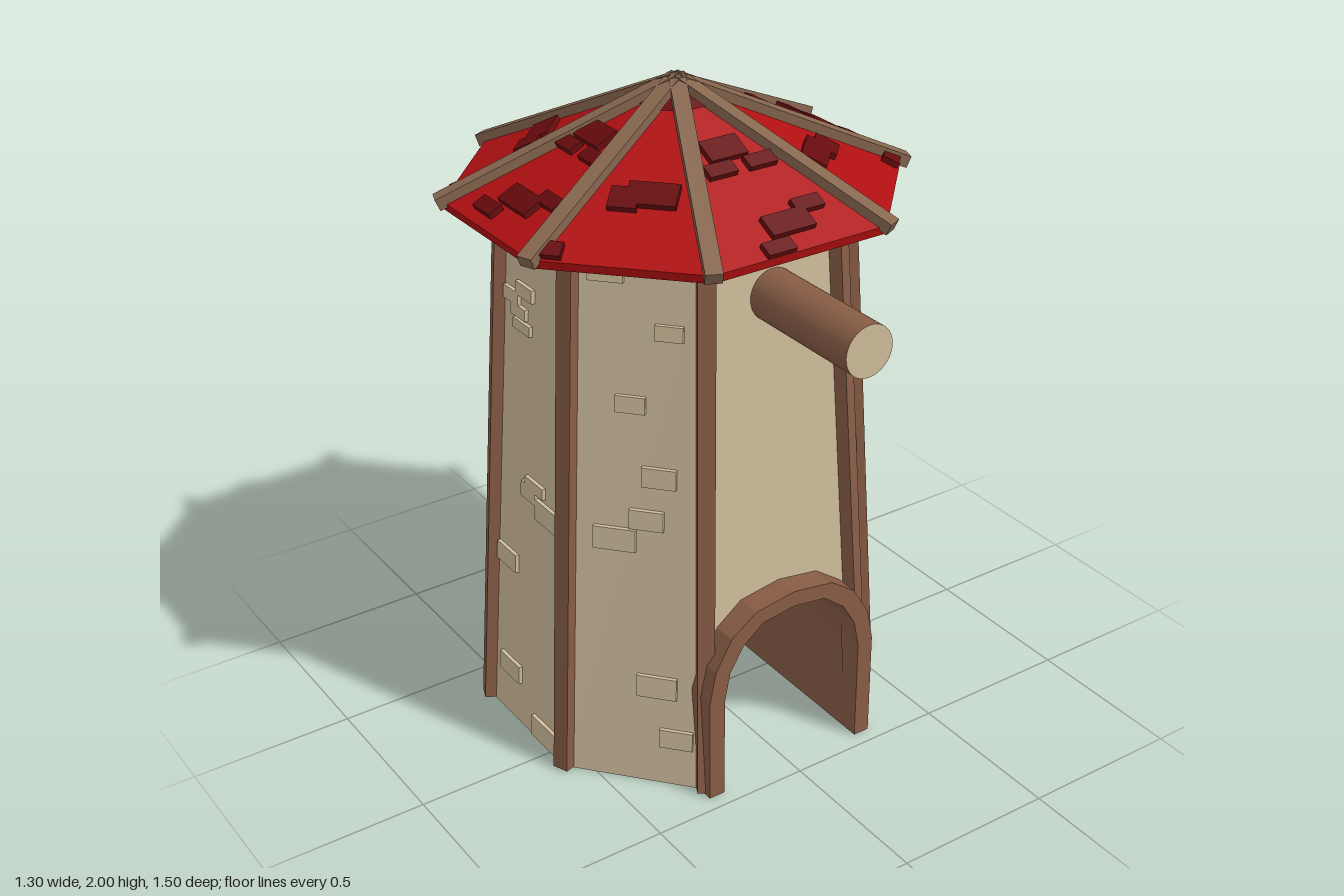
import * as THREE from 'three';

const V = (x, y, z) => new THREE.Vector3(x, y, z);
const mat = (name, color, extra = {}) => {
  const m = new THREE.MeshStandardMaterial({ color, ...extra });
  m.name = name;
  return m;
};

// Eight-sided footprint; order runs from front-left round past +x.
const ring = (f, F, s, S, y) =>
  [[-f, F], [f, F], [s, S], [s, -S], [f, -F], [-f, -F], [-s, -S], [-s, S]].map(([x, z]) => V(x, y, z));

const H = 1.66;
const wallRing = (y) => {
  const k = y / H, mix = THREE.MathUtils.lerp;
  return ring(mix(0.283, 0.215, k), mix(0.55, 0.455, k), mix(0.565, 0.465, k), mix(0.222, 0.178, k), y);
};

// Flat-faced skin between rings, listed bottom to top.
function loft(rings, skip = () => false) {
  const pts = [];
  for (let r = 0; r + 1 < rings.length; r++) {
    for (let i = 0; i < 8; i++) {
      if (skip(i)) continue;
      const j = (i + 1) % 8;
      const [a, b, c, d] = [rings[r][i], rings[r][j], rings[r + 1][j], rings[r + 1][i]];
      if (a.distanceTo(b) > 1e-6) pts.push(a, b, c);
      if (c.distanceTo(d) > 1e-6) pts.push(a, c, d);
    }
  }
  const g = new THREE.BufferGeometry().setFromPoints(pts);
  g.computeVertexNormals();
  return g;
}

export function createModel() {
  const stone = mat('stone', 0xcdbb9a, { side: THREE.DoubleSide });
  const wood = mat('wood', 0x875c45);
  const rafterWood = mat('rafterWood', 0x86664f);
  const red = mat('roofRed', 0xb00f11);
  const darkRed = mat('tileRed', 0x660b0d);

  const model = new THREE.Group();
  const tower = new THREE.Group();
  tower.name = 'tower';
  tower.position.z = -0.14;
  model.add(tower);

  const add = (name, geo, m) => {
    const mesh = new THREE.Mesh(geo, m);
    mesh.name = name;
    tower.add(mesh);
    return mesh;
  };
  // Box with its width along t and its thickness along n
  const block = (name, m, p, t, n, w, thick, h) => {
    const mesh = add(name, new THREE.BoxGeometry(w, thick, h), m);
    const x = t.clone().normalize();
    const y = n.clone().addScaledVector(x, -n.dot(x)).normalize();
    mesh.quaternion.setFromRotationMatrix(new THREE.Matrix4().makeBasis(x, y, x.clone().cross(y)));
    mesh.position.copy(p);
    return mesh;
  };

  // Passage profile
  const inner = [[0.243, 0], [0.243, 0.33], [0.225, 0.42], [0.18, 0.495], [0.11, 0.55], [0, 0.565]];
  const outer = [[0.295, 0], [0.295, 0.34], [0.275, 0.44], [0.22, 0.535], [0.135, 0.595], [0, 0.615]];
  const mirrorArc = (p) => [...p, ...p.slice(0, -1).reverse().map(([x, y]) => [-x, y])];
  const toShape = (p) => new THREE.Shape(p.map(([x, y]) => new THREE.Vector2(x, y)));

  // Walls: six plain sides, then front and back with an opening
  add('sideWalls', loft([wallRing(0), wallRing(H)], (i) => i % 4 === 0), stone);
  const hole = mirrorArc(inner.map(([x, y]) => [x * 1.08, y * 1.03]));
  const gate = new THREE.ShapeGeometry(toShape([
    [wallRing(0)[1].x, 0], [wallRing(H)[1].x, H], [-wallRing(H)[1].x, H], [-wallRing(0)[1].x, 0],
    ...hole.reverse(),
  ]));
  const gp = gate.attributes.position;
  for (let i = 0; i < gp.count; i++) gp.setZ(i, wallRing(gp.getY(i))[1].z);
  gate.computeVertexNormals();
  add('frontWall', gate, stone);
  add('backWall', gate, stone).rotation.y = Math.PI;

  // Vaulted passage running right through
  const vault = new THREE.ExtrudeGeometry(
    toShape([...mirrorArc(outer), ...mirrorArc(inner).reverse()]), { depth: 1.19, bevelEnabled: false });
  vault.translate(0, 0, -0.597);
  add('archPassage', vault, wood);

  // Corner posts
  const low = wallRing(0.004), high = wallRing(H);
  low.forEach((a, i) => {
    const b = high[i];
    block('cornerPost', wood, a.clone().lerp(b, 0.5), b.clone().sub(a), V(a.x, 0, a.z), a.distanceTo(b), 0.05, 0.05);
  });

  // Raised stones on the diagonal walls: [share from front to side corner, y, width, height]
  const diagonalStones = [
    [0.73, 1.6, 0.1, 0.055], [0.26, 1.44, 0.08, 0.045], [0.54, 1.22, 0.085, 0.05], [0.33, 1.005, 0.1, 0.06],
    [0.42, 0.87, 0.1, 0.06], [0.65, 0.8, 0.125, 0.07], [0.34, 0.33, 0.12, 0.07], [0.2, 0.16, 0.1, 0.06],
  ];
  // Raised stones on the side walls: [z, y, width, height]
  const sideStones = [
    [-0.04, 1.445, 0.09, 0.04], [-0.11, 1.41, 0.08, 0.04], [-0.07, 1.375, 0.08, 0.035], [-0.05, 1.335, 0.09, 0.03],
    [0.03, 0.86, 0.1, 0.035], [0, 0.83, 0.08, 0.05], [0.11, 0.795, 0.14, 0.065],
    [-0.12, 0.555, 0.11, 0.06], [-0.095, 0.175, 0.115, 0.06], [0.11, 0.045, 0.14, 0.07],
  ];
  const up = V(0, 1, 0);
  const onWall = (face, t, y, w, h) => {
    const r = wallRing(y), a = r[face], b = r[(face + 1) % 8];
    const top = wallRing(y + 0.1)[face].clone().sub(a);
    const tangent = b.clone().sub(a);
    block('wallStone', stone, a.clone().lerp(b, t), tangent, tangent.clone().cross(top), w, 0.024, h);
  };
  for (const [t, y, w, h] of diagonalStones) {
    for (const face of [1, 5]) onWall(face, t, y, w, h);
    for (const face of [3, 7]) onWall(face, 1 - t, y, w, h);
  }
  for (const [z, y, w, h] of sideStones) {
    const half = wallRing(y)[2].z;
    onWall(2, 0.5 - z / (2 * half), y, w, h);
    onWall(6, 0.5 + z / (2 * half), y, w, h);
  }

  // Roof: closed underside, thin rim, eight slopes
  const eaveY = 1.68, apexY = 1.975;
  const eave = ring(0.285, 0.588, 0.62, 0.237, eaveY);
  const atCentre = (y) => eave.map(() => V(0, y, 0));
  add('roof', loft([atCentre(1.655), ring(0.282, 0.583, 0.615, 0.235, 1.655), eave, atCentre(apexY)]), red);
  const apex = V(0, apexY, 0);
  const cap = eave.map((p) => apex.clone().lerp(p, 0.18).add(V(0, 0.004, 0)));
  add('roofCap', loft([cap, atCentre(apexY + 0.004)]), darkRed);

  // Rafters along the ridges
  for (const p of eave) {
    const end = apex.clone().lerp(p, 1.025);
    const dir = end.clone().sub(apex);
    block('rafter', rafterWood, apex.clone().lerp(end, 0.5).add(V(0, 0.006, 0)), dir, up, dir.length(), 0.036, 0.048);
  }

  // Roof tiles: [offset along the eave, distance out from the axis, width, depth]
  const broadTiles = [
    [-0.02, 0.25, 0.12, 0.075], [-0.07, 0.31, 0.09, 0.045], [0.06, 0.31, 0.09, 0.045],
    [0.1, 0.47, 0.09, 0.045], [0.01, 0.508, 0.14, 0.07], [-0.065, 0.57, 0.09, 0.045],
  ];
  const narrowTiles = [[-0.022, 0.392, 0.14, 0.08], [0.052, 0.41, 0.08, 0.075], [0.205, 0.585, 0.06, 0.05]];
  for (let i = 0; i < 8; i++) {
    const a = eave[i], t = eave[(i + 1) % 8].clone().sub(a).normalize();
    const out = V(-t.z, 0, t.x);
    if (out.dot(a) < 0) out.negate();
    const reach = out.dot(a), rise = apexY - eaveY;
    const n = out.clone().multiplyScalar(rise).addScaledVector(up, reach).normalize();
    const flip = i >= 3 && i <= 5 ? -1 : i === 2 || i === 7 ? -1 : 1;
    const side = i === 2 ? 1 : i === 3 || i === 7 ? -1 : i === 5 || i === 1 ? 1 : flip;
    for (const [u, d, w, h] of i % 2 ? narrowTiles : broadTiles) {
      const p = out.clone().multiplyScalar(d).addScaledVector(t, u * side);
      p.y = apexY - (rise * d) / reach + 0.006;
      block('roofTile', darkRed, p, t, n, w, 0.024, h);
    }
  }

  // Log jutting out above the front arch
  const log = add('log', new THREE.CylinderGeometry(0.076, 0.076, 0.46, 32), [wood, stone, stone]);
  log.rotation.x = Math.PI / 2;
  log.position.set(0, 1.505, 0.65);

  return model;
}
